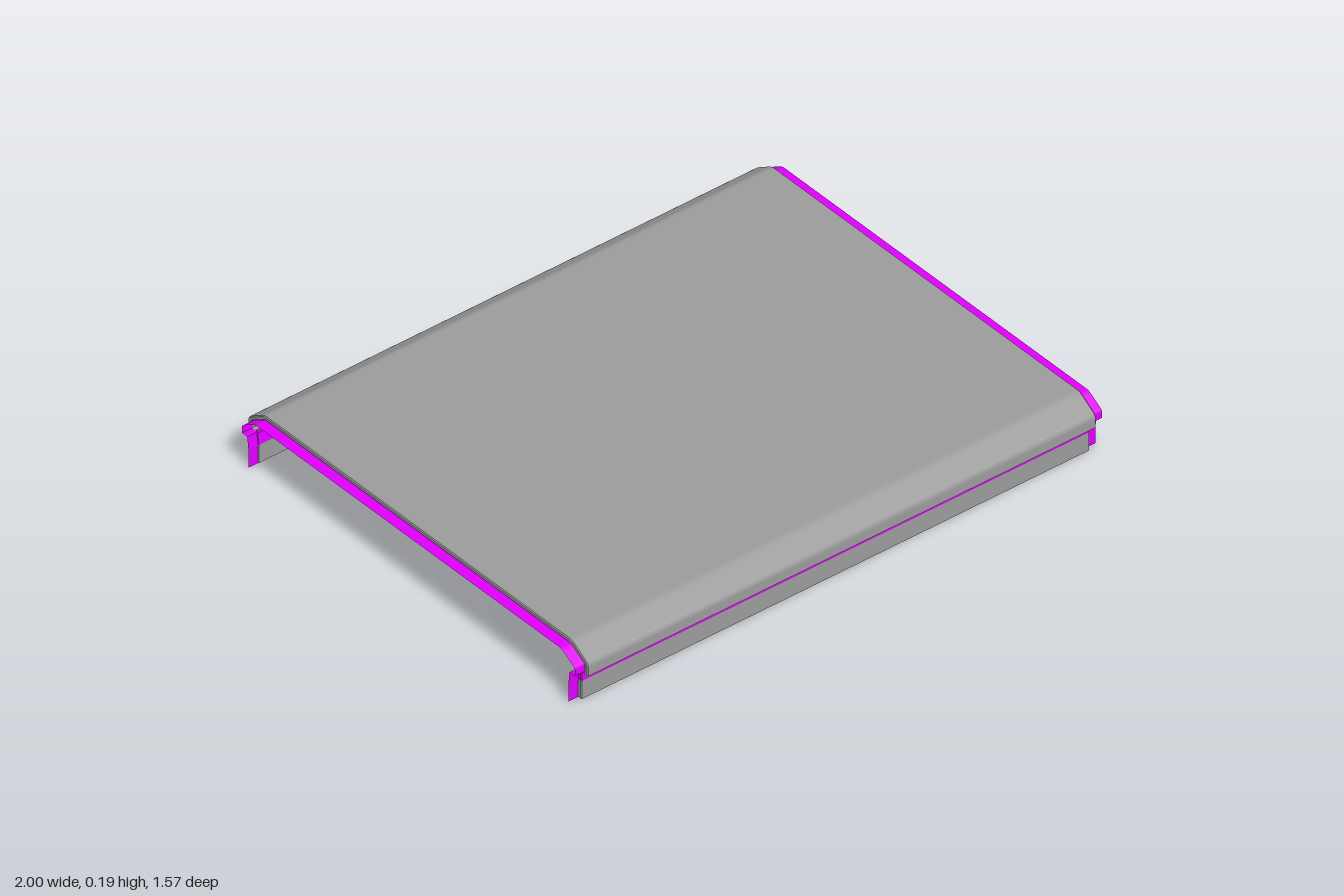
import * as THREE from 'three';

const grey = new THREE.MeshStandardMaterial({ color: 0x9b9b9b, flatShading: true });
const magenta = new THREE.MeshStandardMaterial({ color: 0xe000ff, flatShading: true });
const magentaSheet = new THREE.MeshStandardMaterial({ color: 0xe000ff, flatShading: true, side: THREE.DoubleSide });

const INNER = 0.965; // half length of the thick panel
const TIP = 1; // half length including the end tongues
const CHAMFER = 0.003; // softened rim at the cut ends

// Mirrors a half profile of [z, y] points across z = 0
const mirrored = (half) => [...half, ...half.map(([z, y]) => [-z, y]).reverse()];

// Extrudes a closed [z, y] outline along x, centred, with chamfered ends
function bar(name, outline, material) {
  const shape = new THREE.Shape(outline.map(([z, y]) => new THREE.Vector2(-z, y)));
  const depth = 2 * (INNER - CHAMFER);
  const geometry = new THREE.ExtrudeGeometry(shape, {
    depth, bevelSize: CHAMFER, bevelThickness: CHAMFER, bevelOffset: -CHAMFER, bevelSegments: 1,
  });
  geometry.translate(0, 0, -depth / 2).rotateY(Math.PI / 2);
  const mesh = new THREE.Mesh(geometry, material);
  mesh.name = name;
  return mesh;
}

// Sweeps an open [z, y] line along x into a thin sheet
function sheet(name, line, x0, x1) {
  const positions = [];
  const index = [];
  line.forEach(([z, y], i) => {
    positions.push(x0, y, z, x1, y, z);
    if (i > 0) {
      const a = 2 * i - 2;
      index.push(a, a + 1, a + 2, a + 1, a + 3, a + 2);
    }
  });
  const geometry = new THREE.BufferGeometry();
  geometry.setAttribute('position', new THREE.Float32BufferAttribute(positions, 3));
  geometry.setIndex(index);
  geometry.computeVertexNormals();
  const mesh = new THREE.Mesh(geometry, magentaSheet);
  mesh.name = name;
  return mesh;
}

export function createModel() {
  const model = new THREE.Group();
  model.name = 'coverPanel';

  // Thick cover with rounded, sloped shoulders and inward lips
  const outer = mirrored([
    [0.755, 0.101], [0.787, 0.101], [0.787, 0.133], [0.7855, 0.14], [0.782, 0.146], [0.776, 0.151],
    [0.724, 0.184], [0.714, 0.189], [0.703, 0.191],
  ]);
  const inner = mirrored([
    [0.755, 0.11], [0.772, 0.11], [0.772, 0.131], [0.77, 0.137], [0.765, 0.142],
    [0.717, 0.171], [0.708, 0.175], [0.699, 0.176],
  ]);
  model.add(bar('cover', [...outer, ...inner.reverse()], grey));

  // Side walls with a coloured, tapering band under the lip
  for (const s of [1, -1]) {
    const side = s > 0 ? 'front' : 'back';
    const flip = (points) => points.map(([z, y]) => [s * z, y]);
    model.add(
      bar(side + 'Wall', flip([[0.739, 0], [0.757, 0], [0.757, 0.066], [0.739, 0.066]]), grey),
      bar(side + 'Band', flip([[0.739, 0.066], [0.757, 0.066], [0.757, 0.107], [0.744, 0.107]]), magenta)
    );
  }

  // Thin tongues that continue the inner face past both ends
  const tongue = mirrored([
    [0.741, 0], [0.741, 0.066], [0.746, 0.11], [0.771, 0.11], [0.771, 0.131], [0.769, 0.137], [0.764, 0.142],
    [0.717, 0.17], [0.708, 0.174], [0.699, 0.175],
  ]);
  model.add(sheet('leftTongue', tongue, INNER - 0.005, TIP));
  model.add(sheet('rightTongue', tongue, -TIP, -INNER + 0.005));

  return model;
}
